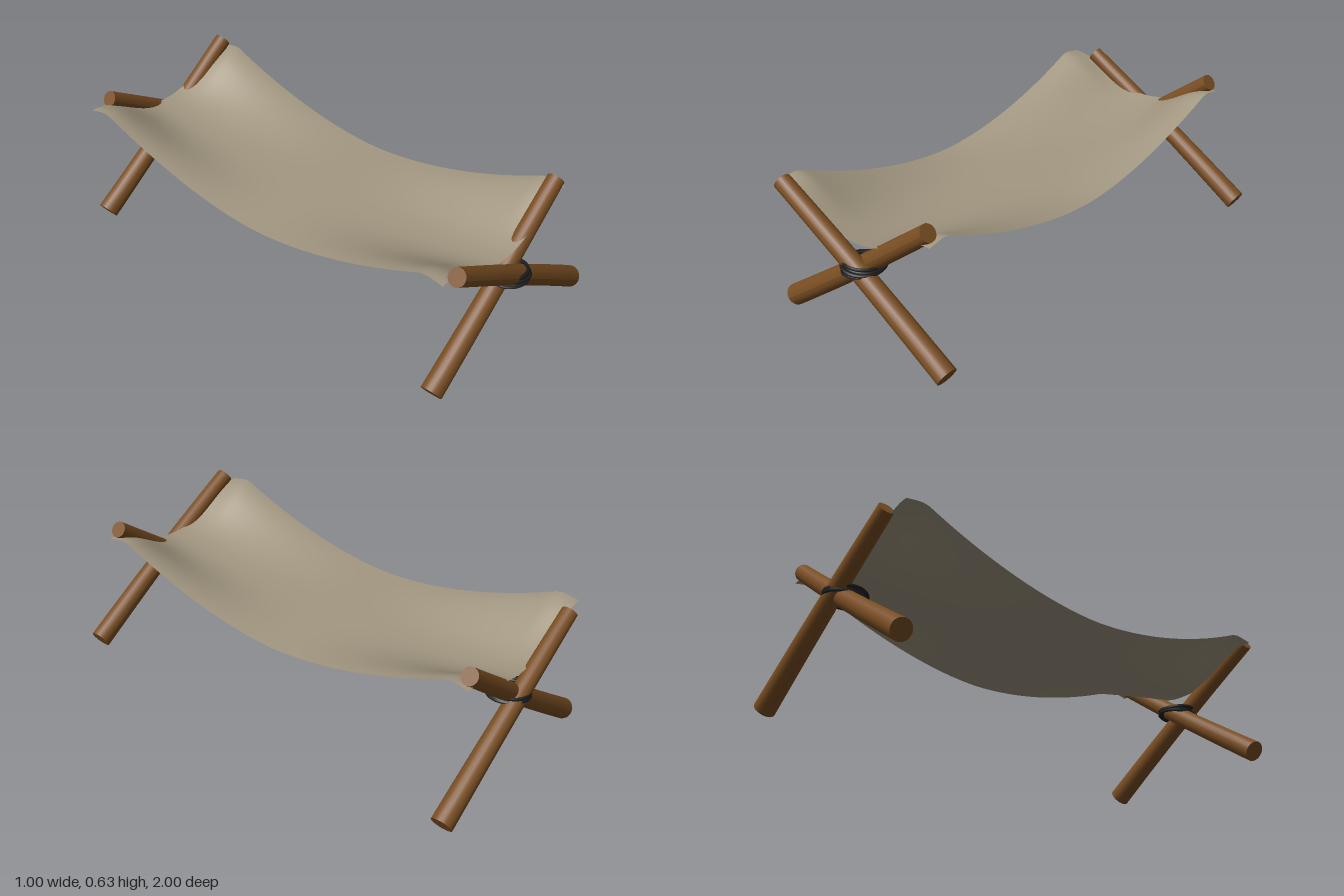
import * as THREE from 'three';

const wood = new THREE.MeshStandardMaterial({ color: 0x7a4e22 });
const canvas = new THREE.MeshStandardMaterial({ color: 0xa39882, side: THREE.DoubleSide });
const cord = new THREE.MeshStandardMaterial({ color: 0x1e1e1e });

// Tapered pole from its foot to its top, bowed slightly along its length
function pole(name, foot, top, rFoot, rTop, bow) {
  const a = new THREE.Vector3(...foot), b = new THREE.Vector3(...top);
  const dir = b.clone().sub(a), len = dir.length();
  const geo = new THREE.CylinderGeometry(rTop, rFoot, len, 20, 10);
  const p = geo.attributes.position;
  for (let i = 0; i < p.count; i++) {
    const t = p.getY(i) / len + 0.5;
    p.setX(i, p.getX(i) + bow * Math.sin(Math.PI * t));
  }
  geo.computeVertexNormals();
  const mesh = new THREE.Mesh(geo, wood);
  mesh.name = name;
  mesh.position.copy(a).add(b).multiplyScalar(0.5);
  mesh.quaternion.setFromUnitVectors(new THREE.Vector3(0, 1, 0), dir.normalize());
  return mesh;
}

// Cord wound several times around the crossing of two poles
function lashing(name, z) {
  const pts = [], turns = 6, steps = 18;
  for (let i = 0; i <= turns * steps; i++) {
    const t = i / steps, ang = t * Math.PI * 2;
    const r = 0.076 + 0.006 * Math.sin(t * 2.3);
    const tilt = 0.007 * Math.cos(ang + t * 0.9);
    pts.push(new THREE.Vector3(r * Math.cos(ang), (t / turns - 0.5) * 0.03 + tilt, r * 1.06 * Math.sin(ang)));
  }
  const curve = new THREE.CatmullRomCurve3(pts);
  const mesh = new THREE.Mesh(new THREE.TubeGeometry(curve, 260, 0.007, 7), cord);
  mesh.name = name;
  mesh.position.set(-0.025, 0.365, z);
  return mesh;
}

// Sagging cloth: edges rise steeply to the poles, the middle stays low
function sling() {
  const geo = new THREE.PlaneGeometry(2, 2, 36, 72);
  geo.rotateX(-Math.PI / 2);
  const p = geo.attributes.position;
  for (let i = 0; i < p.count; i++) {
    const u = p.getX(i), v = p.getZ(i), au = Math.abs(u), av = Math.abs(v);
    const z = -0.012 + v * 0.928;
    const x = -0.0725 + u * (0.4 + 0.006 * av ** 6);
    const middle = 0.37 + 0.075 * av ** 2.5;
    const edge = 0.37 + 0.21 * Math.min(1, av / 0.9) ** 1.8;
    const s = Math.sin(Math.PI / 2 * au ** 1.2) ** 2;
    // Corners fold down a little past the poles
    const fold = 0.012 * Math.max(0, (av - 0.93) / 0.07) * au ** 4;
    p.setXYZ(i, x, middle + (edge - middle) * s - fold, z);
  }
  geo.computeVertexNormals();
  const mesh = new THREE.Mesh(geo, canvas);
  mesh.name = 'sling';
  return mesh;
}

export function createModel() {
  const group = new THREE.Group();
  group.name = 'hammockCot';

  const front = new THREE.Group();
  front.name = 'frontTrestle';
  front.add(
    pole('frontInnerPole', [-0.472, 0.04, 0.892], [0.303, 0.609, 0.89], 0.045, 0.036, 0.006),
    pole('frontOuterPole', [0.425, 0.08, 0.945], [-0.43, 0.592, 0.94], 0.045, 0.037, 0.008),
    lashing('frontLashing', 0.908)
  );

  const back = new THREE.Group();
  back.name = 'backTrestle';
  back.add(
    pole('backInnerPole', [-0.472, 0.04, -0.93], [0.303, 0.609, -0.922], 0.045, 0.036, 0.006),
    pole('backOuterPole', [0.473, 0.05, -0.952], [-0.37, 0.572, -0.955], 0.046, 0.034, 0.006),
    lashing('backLashing', -0.905)
  );

  group.add(front, back, sling());
  return group;
}
